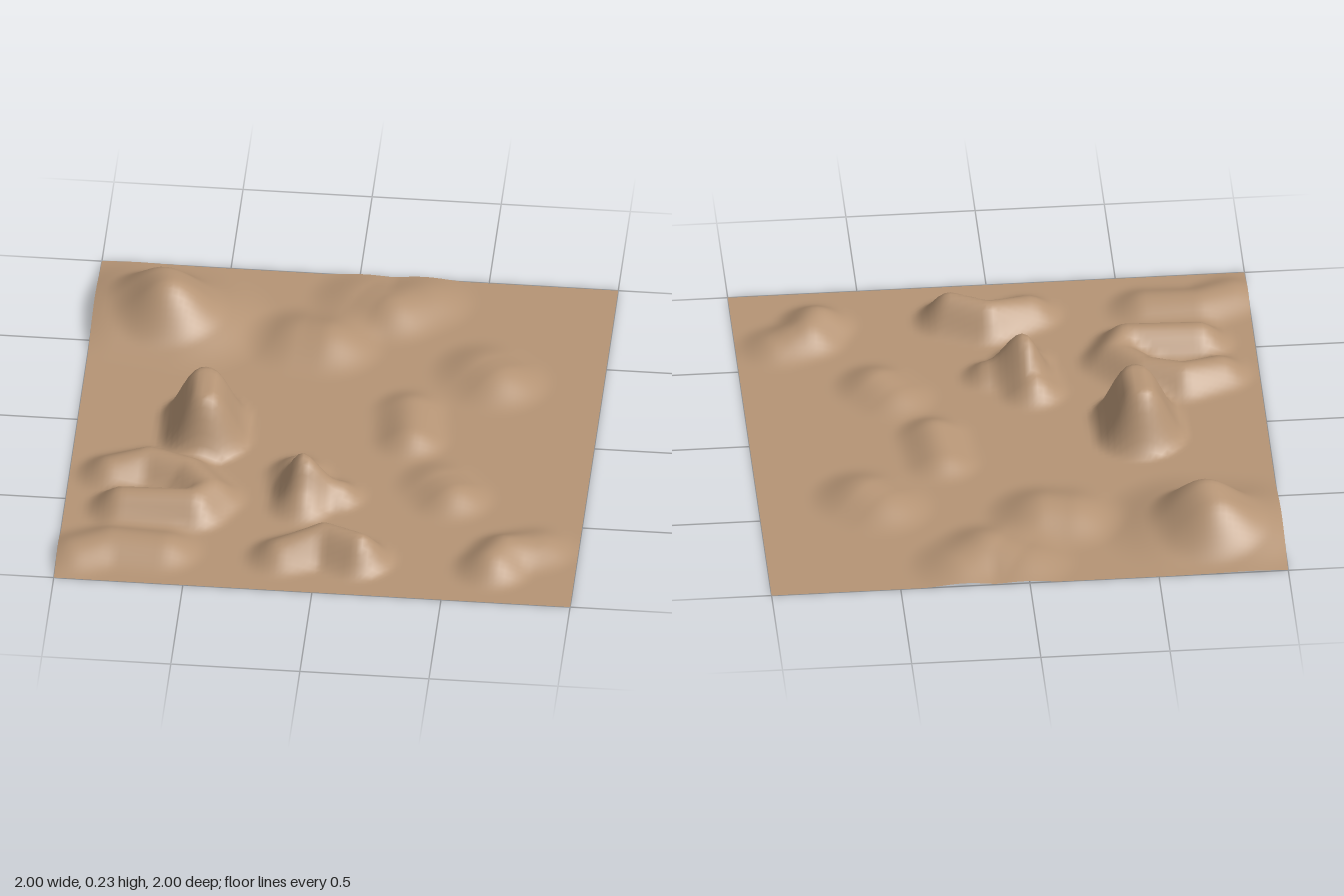
import * as THREE from 'three';

// Each hill: ridge line points [x, z, height], foot radius r, optional flat crest half-width c
const HILLS = [
  // back corner massif: broad shoulder and summit
  { r: 0.36, c: 0.02, p: [[-0.86, -0.7, 0.075], [-0.64, -0.66, 0.07]] },
  { r: 0.23, p: [[-0.73, -0.74, 0.105], [-0.71, -0.66, 0.12]] },
  // steep butte
  { r: 0.185, c: 0.025, p: [[-0.51, -0.05, 0.228], [-0.5, 0.07, 0.228]] },
  // hooked double ridge
  { r: 0.15, p: [[-0.84, 0.33, 0.07], [-0.7, 0.28, 0.09], [-0.55, 0.33, 0.09], [-0.45, 0.45, 0.09],
    [-0.5, 0.54, 0.1], [-0.78, 0.54, 0.09]] },
  // front corner rise
  { r: 0.17, p: [[-0.93, 0.84, 0.05], [-0.8, 0.78, 0.06], [-0.6, 0.79, 0.055]] },
  // curved front ridge
  { r: 0.15, p: [[-0.14, 0.79, 0.075], [0.02, 0.72, 0.115], [0.16, 0.78, 0.122]] },
  // forked knoll
  { r: 0.14, p: [[-0.12, 0.27, 0.08], [-0.09, 0.42, 0.108], [-0.09, 0.46, 0.09]] },
  { r: 0.12, p: [[-0.09, 0.38, 0.09], [0.04, 0.39, 0.065]] },
  // low mounds
  { r: 0.24, p: [[-0.18, -0.57, 0.06], [-0.09, -0.56, 0.07]] },
  { r: 0.22, p: [[0.02, -0.85, 0.04], [0.15, -0.78, 0.065], [0.25, -0.86, 0.045]] },
  { r: 0.22, p: [[0.53, -0.44, 0.05], [0.59, -0.38, 0.06]] },
  { r: 0.16, p: [[0.27, -0.17, 0.045], [0.29, 0.01, 0.055]] },
  { r: 0.18, p: [[0.42, 0.28, 0.04], [0.48, 0.36, 0.055]] },
  { r: 0.17, p: [[0.68, 0.78, 0.075], [0.72, 0.7, 0.075], [0.84, 0.65, 0.045]] },
];

// Height of one hill: cosine falloff from the nearest stretch of its ridge line
function hillHeight({ p, r, c = 0 }, x, z) {
  let best = 0;
  for (let i = 0; i < p.length - 1; i++) {
    const [ax, az, ah] = p[i], [bx, bz, bh] = p[i + 1];
    const dx = bx - ax, dz = bz - az;
    const t = THREE.MathUtils.clamp(((x - ax) * dx + (z - az) * dz) / (dx * dx + dz * dz), 0, 1);
    const d = Math.hypot(x - ax - t * dx, z - az - t * dz);
    const f = THREE.MathUtils.clamp((d - c) / (r - c), 0, 1);
    best = Math.max(best, (ah + (bh - ah) * t) * 0.5 * (1 + Math.cos(Math.PI * f)));
  }
  return best;
}

export function createModel() {
  const group = new THREE.Group();
  group.name = 'landscape';

  // Flat sheet raised by the hills
  const geometry = new THREE.PlaneGeometry(2, 2, 90, 90).rotateX(-Math.PI / 2);
  const pos = geometry.attributes.position;
  for (let i = 0; i < pos.count; i++) {
    const x = pos.getX(i), z = pos.getZ(i);
    // overlapping hills add up
    pos.setY(i, HILLS.reduce((sum, hill) => sum + hillHeight(hill, x, z), 0));
  }
  geometry.computeVertexNormals();

  const terrain = new THREE.Mesh(geometry,
    new THREE.MeshStandardMaterial({ color: 0xb59475, side: THREE.DoubleSide }));
  terrain.name = 'terrain';
  group.add(terrain);
  return group;
}
